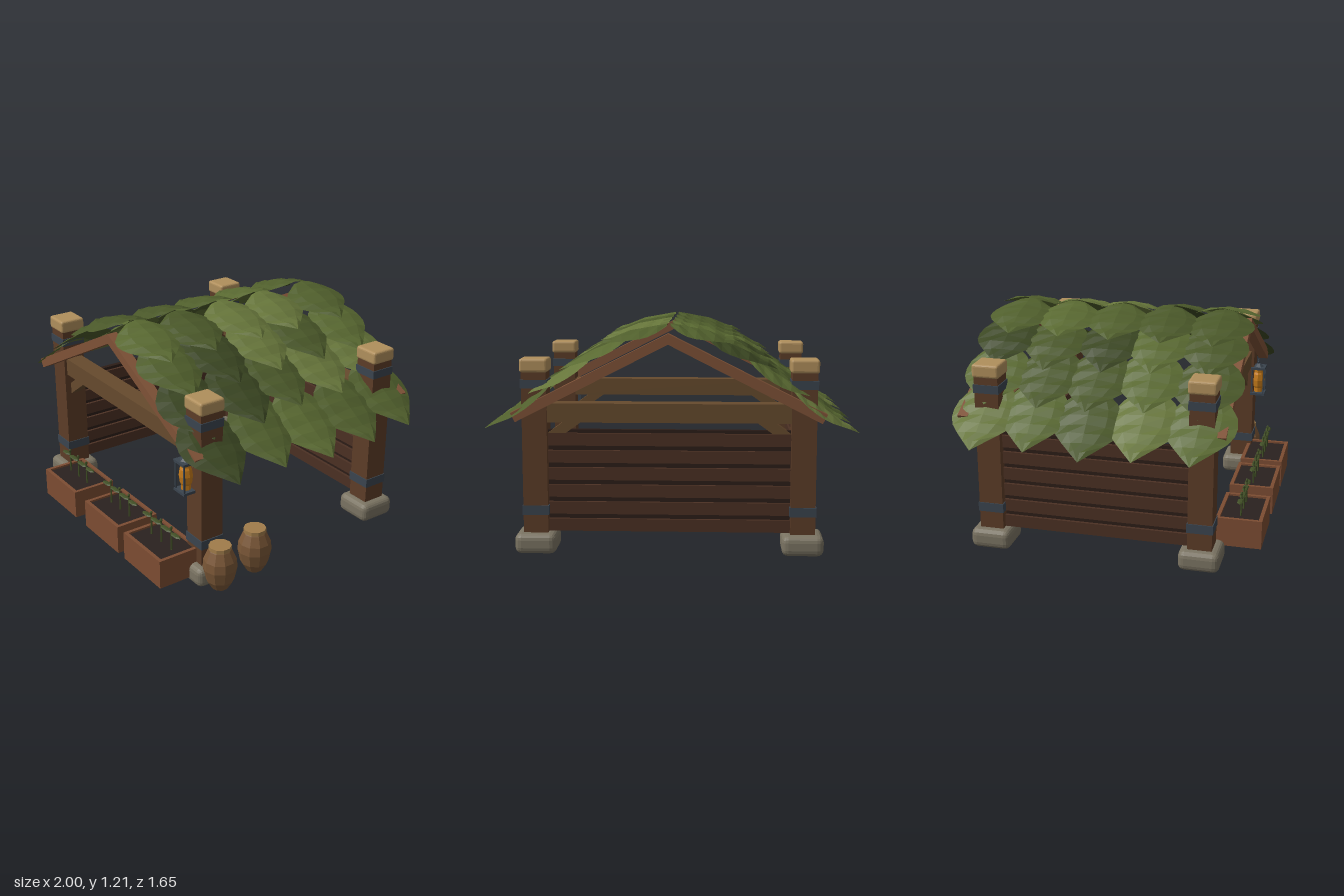
import * as THREE from 'three';
import { RoundedBoxGeometry } from 'three/addons/geometries/RoundedBoxGeometry.js';

const mat = (color, extra = {}) => new THREE.MeshStandardMaterial({ color, flatShading: true, ...extra });
const M = {
  post: mat(0x5c3c27), cap: mat(0xb08f5c), iron: mat(0x3a444e), stone: mat(0x7a7362),
  plank: mat(0x4b3023), gap: mat(0x2c1d17), rafter: mat(0x7f5237), beam: mat(0x664a2d),
  planter: mat(0x7c4c32), soil: mat(0x2a211f), jar: mat(0x795636), lid: mat(0xa07c4a),
  glow: mat(0xc47a1a), sprout: mat(0x414f26, { side: THREE.DoubleSide }),
};
const leafMats = [0x3b4722, 0x4a5829, 0x596931, 0x66753a, 0x505f2c].map(c => mat(c, { side: THREE.DoubleSide }));

let seed = 7;
const rand = () => (seed = (seed * 16807) % 2147483647) / 2147483647;

const FRONT = 0.53, BACK = -0.61, POST_X = 0.7;

export function createModel() {
  const root = new THREE.Group();
  const add = (parent, name, geo, material, x = 0, y = 0, z = 0) => {
    const m = new THREE.Mesh(geo, material);
    m.name = name;
    m.position.set(x, y, z);
    parent.add(m);
    return m;
  };
  const box = (parent, name, w, h, d, material, x, y, z) =>
    add(parent, name, new THREE.BoxGeometry(w, h, d), material, x, y, z);
  const rbox = (parent, name, w, h, d, r, material, x, y, z) =>
    add(parent, name, new RoundedBoxGeometry(w, h, d, 2, r), material, x, y, z);
  const group = (name, x = 0, y = 0, z = 0) => {
    const g = new THREE.Group();
    g.name = name;
    g.position.set(x, y, z);
    root.add(g);
    return g;
  };

  // Corner posts on stone feet, with iron bands and caps
  for (const z of [FRONT, BACK]) for (const s of [-1, 1]) {
    const p = group('cornerPost', s * POST_X, 0, z);
    rbox(p, 'footStone', 0.22, 0.11, 0.22, 0.035, M.stone, 0, 0.06, 0);
    box(p, 'postShaft', 0.13, 0.88, 0.13, M.post, 0, 0.53, 0);
    box(p, 'lowerBand', 0.14, 0.05, 0.14, M.iron, 0, 0.235, 0);
    box(p, 'upperBand', 0.14, 0.045, 0.14, M.iron, 0, 0.902, 0);
    rbox(p, 'postCap', 0.148, 0.072, 0.148, 0.014, M.cap, 0, 0.998, 0);
  }

  // Plank walls at the back and on one side; the front and the other side are open
  const wall = (name, length, x, z, turn) => {
    const g = group(name, x, 0, z);
    g.rotation.y = turn;
    box(g, 'wallBacking', length, 0.54, 0.028, M.gap, 0, 0.388, 0);
    for (let i = 0; i < 6; i++)
      box(g, 'wallPlank', length, 0.066, 0.06, M.plank, 0, 0.15 + i * 0.0915, 0);
  };
  wall('backWall', 1.28, 0, BACK, 0);
  wall('sideWall', 1.02, -POST_X, (FRONT + BACK) / 2, Math.PI / 2);

  // Gable frames: cross beam, braces and a pair of rafters
  const chevron = new THREE.Shape([
    [0, 1.17], [-0.81, 0.762], [-0.785, 0.715], [0, 1.115], [0.785, 0.715], [0.81, 0.762],
  ].map(p => new THREE.Vector2(...p)));
  for (const [z, rz] of [[FRONT, 0.632], [BACK, -0.73]]) {
    const g = group('gableFrame');
    box(g, 'crossBeam', 1.3, 0.1, 0.1, M.beam, 0, 0.75, z);
    for (const s of [-1, 1])
      box(g, 'brace', 0.24, 0.055, 0.06, M.beam, s * 0.565, 0.658, z).rotation.z = -s * 0.62;
    add(g, 'rafters', new THREE.ExtrudeGeometry(chevron, { depth: 0.056, bevelEnabled: false }), M.rafter, 0, 0, rz - 0.028);
  }

  // Roof height as a function of distance from the ridge
  const knots = [1.235, 1.175, 1.07, 0.925, 0.78, 0.635];
  const roofY = x => {
    const k = Math.min(4, Math.max(0, Math.floor(x / 0.2)));
    return THREE.MathUtils.lerp(knots[k], knots[k + 1], x / 0.2 - k);
  };

  // One broad leaf lying downhill: folded at the midrib, pleated along side veins
  const widths = [0.3, 0.72, 0.94, 1, 0.97, 0.84, 0.6, 0.32, 0];
  const across = [-1, -0.55, 0, 0.55, 1];
  const leafGeometry = (side, x0, len, zc, half, lift, skew) => {
    const pos = [], idx = [], n = widths.length, c = across.length;
    widths.forEach((w, i) => across.forEach((a, j) => {
      const t = i / (n - 1);
      const x = x0 + len * (t - 0.07 * Math.abs(a) * w * t);
      const pleat = j % 2 && i % 2 ? 0.01 : 0;
      const y = roofY(x) + lift * (t - 0.4) - 0.045 * Math.pow(Math.abs(a * w), 1.3) + pleat;
      pos.push(side * x, y, zc + a * w * half + skew * (t - 0.5));
      if (i < n - 1 && j < c - 1) {
        const k = i * c + j;
        idx.push(k, k + 1, k + c, k + 1, k + c + 1, k + c);
      }
    }));
    const g = new THREE.BufferGeometry();
    g.setAttribute('position', new THREE.Float32BufferAttribute(pos, 3));
    g.setIndex(idx);
    g.computeVertexNormals();
    return g;
  };

  // Leaf thatch: four overlapping rows of five leaves on each slope
  const roof = group('leafRoof');
  const rowStart = [0.6, 0.38, 0.18, 0.008];
  for (const side of [-1, 1]) rowStart.forEach((x0, row) => {
    for (let i = 0; i < 5; i++) {
      const j = row === 3 ? 0 : (rand() - 0.5) * 0.04;
      const len = row === 0 ? 0.385 - Math.abs(j) * 0.5 : 0.38;
      const zc = -0.63 + i * 0.284 + (rand() - 0.5) * 0.03;
      const start = row === 0 ? 1 - (i === 2 ? 0 : rand() * 0.03) - len : x0 + j;
      add(roof, 'roofLeaf', leafGeometry(side, start, len, zc, 0.185, row ? 0.045 : 0.01, (rand() - 0.5) * 0.05),
        leafMats[Math.floor(rand() * leafMats.length)]);
    }
  });

  // Planter boxes with soil and a row of sprouts
  const leaflet = new THREE.SphereGeometry(1, 6, 4);
  for (const x of [-0.34, 0.125, 0.54]) {
    const g = group('planter', x, 0.035, 0.695);
    box(g, 'planterBase', 0.346, 0.13, 0.246, M.planter, 0, 0.065, 0);
    for (const s of [-1, 1]) {
      box(g, 'planterLongSide', 0.352, 0.16, 0.02, M.planter, 0, 0.08, s * 0.115);
      box(g, 'planterShortSide', 0.02, 0.16, 0.25, M.planter, s * 0.166, 0.08, 0);
    }
    box(g, 'soil', 0.32, 0.02, 0.22, M.soil, 0, 0.139, 0);
    for (let i = -1; i <= 1; i++) {
      add(g, 'sproutStem', new THREE.CylinderGeometry(0.004, 0.006, 0.135, 5), M.sprout, i * 0.095, 0.21, 0);
      add(g, 'sproutTip', leaflet, M.sprout, i * 0.095, 0.278, 0).scale.set(0.008, 0.011, 0.008);
      for (const s of [-1, 1])
        add(g, 'sproutLeaf', leaflet, M.sprout, i * 0.095 + s * 0.04, 0.25, 0).scale.set(0.043, 0.007, 0.018);
    }
  }

  // Clay jars beside the open wall
  const jarProfile = [[0, 0], [0.045, 0], [0.075, 0.05], [0.09, 0.12], [0.086, 0.17], [0.062, 0.225], [0.055, 0.235], [0, 0.235]]
    .map(p => new THREE.Vector2(...p));
  for (const [x, z] of [[0.843, 0.535], [0.81, 0.287]]) {
    const g = group('jar', x, 0.01, z);
    add(g, 'jarBody', new THREE.LatheGeometry(jarProfile, 10), M.jar);
    add(g, 'jarLid', new THREE.CylinderGeometry(0.06, 0.06, 0.022, 10), M.lid, 0, 0.238, 0);
  }

  // Hanging lantern on a front post
  const lamp = group('lantern', 0.667, 0, 0.622);
  add(lamp, 'lanternGlow', new THREE.CylinderGeometry(0.026, 0.026, 0.155, 8), M.glow, 0, 0.61, 0);
  add(lamp, 'lanternBulge', new THREE.SphereGeometry(1, 8, 6), M.glow, 0, 0.61, 0).scale.set(0.037, 0.075, 0.037);
  for (const y of [0.527, 0.69]) box(lamp, 'lanternPlate', 0.092, 0.014, 0.088, M.iron, 0, y, 0);
  for (const sx of [-1, 1]) for (const sz of [-1, 1])
    box(lamp, 'lanternBar', 0.008, 0.16, 0.008, M.iron, sx * 0.038, 0.608, sz * 0.036);
  add(lamp, 'lanternHook', new THREE.TorusGeometry(0.014, 0.004, 5, 10), M.iron, 0, 0.728, 0);
  add(lamp, 'lanternCap', new THREE.CylinderGeometry(0.01, 0.035, 0.022, 6), M.iron, 0, 0.705, 0);

  return root;
}
